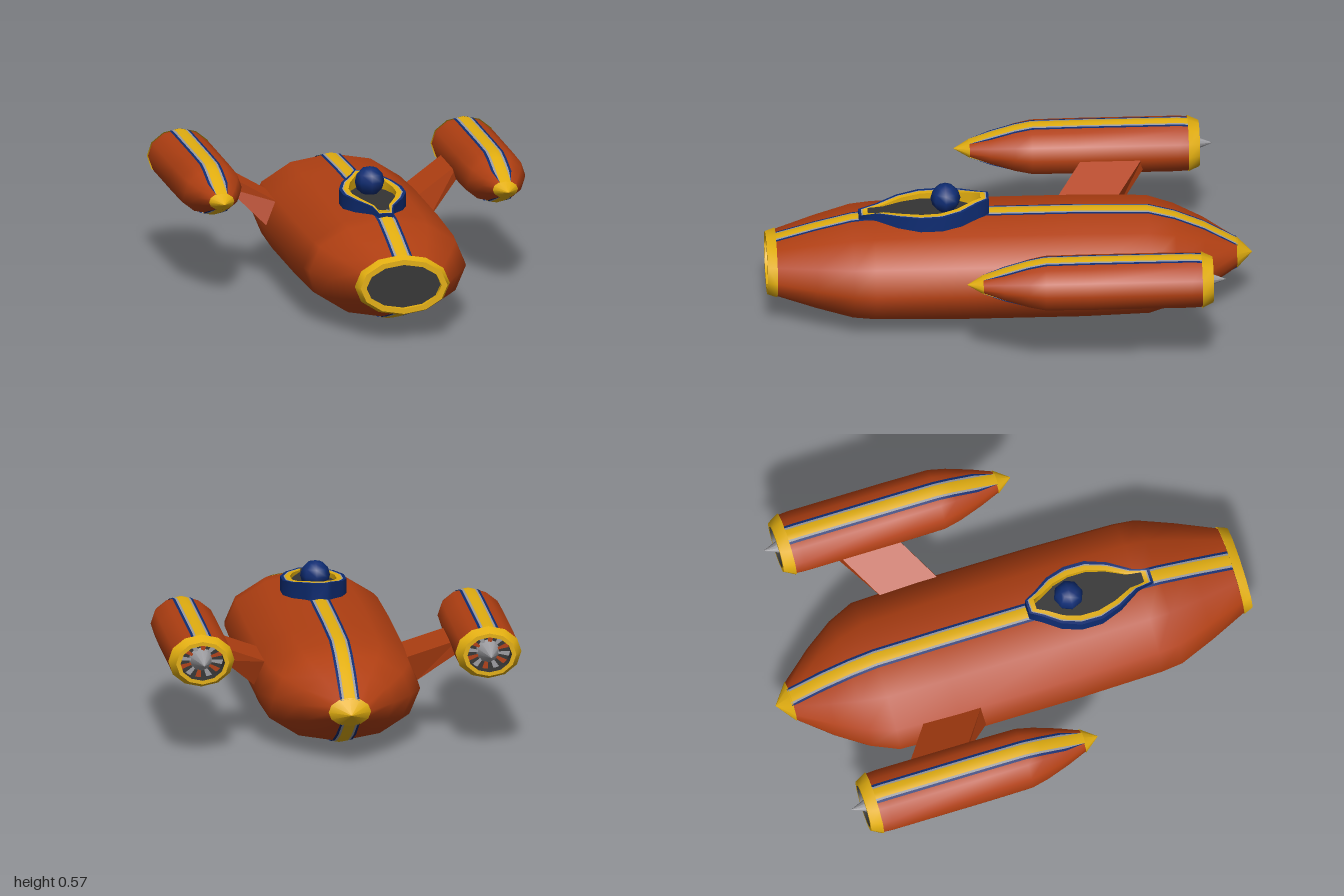
import * as THREE from 'three';

const mat = (name, color) => {
  const m = new THREE.MeshStandardMaterial({ color, side: THREE.DoubleSide });
  m.name = name;
  return m;
};

// Surface through rows of [x, y, z] points; closed rows wrap around
function sheet(rows, closed) {
  const n = rows[0].length, index = [];
  for (let i = 0; i < rows.length - 1; i++) {
    for (let j = 0; j < (closed ? n : n - 1); j++) {
      const k = (j + 1) % n, a = i * n + j, b = i * n + k, c = a + n, d = b + n;
      index.push(a, b, c, b, d, c);
    }
  }
  const g = new THREE.BufferGeometry();
  g.setAttribute('position', new THREE.Float32BufferAttribute(rows.flat(2), 3));
  g.setIndex(index);
  g.computeVertexNormals();
  return g;
}

// Twelve-sided elliptical hull; each section is [z, halfWidth, halfHeight]
const hull = (sections) => sheet(sections.map(([z, w, h]) =>
  Array.from({ length: 12 }, (_, i) => {
    const a = i * Math.PI / 6;
    return [w * Math.sin(a), h * Math.cos(a), z];
  })), true);

// Band painted along the crest (side 1) or keel (side -1) of a hull
const ribbon = (sections, xs, side, lift) => sheet(sections.map(([z, w, h]) =>
  xs.map((x) => {
    const cx = Math.sign(x) * Math.min(Math.abs(x), w * 0.5);
    return [cx, side * (h * (1 - 0.134 * Math.abs(cx) / (w * 0.5)) + lift), z];
  })), false);

export function createModel() {
  const red = mat('rustRed', 0xb03f12), yellow = mat('yellow', 0xe2ae10), blue = mat('navyBlue', 0x0e2c72);
  const dark = mat('darkGrey', 0x343434), grey = mat('lightGrey', 0x9c9ca0);

  const model = new THREE.Group();
  const add = (parent, name, geometry, material, x = 0, y = 0, z = 0) => {
    const m = new THREE.Mesh(geometry, material);
    m.name = name;
    m.position.set(x, y, z);
    parent.add(m);
    return m;
  };

  // Yellow centre line, grey pinstripes and blue borders, above and below
  const addStripes = (parent, sections) => {
    for (const side of [1, -1]) {
      add(parent, 'stripeCentre', ribbon(sections, [-0.023, 0, 0.023], side, 0.004), yellow);
      for (const s of [1, -1]) {
        add(parent, 'stripePinline', ribbon(sections, [s * 0.023, s * 0.032], side, 0.004), grey);
        add(parent, 'stripeBorder', ribbon(sections, [s * 0.032, s * 0.042], side, 0.004), blue);
      }
    }
  };

  // Fuselage
  const fuselage = new THREE.Group();
  fuselage.name = 'fuselage';
  fuselage.position.y = 0.225;
  model.add(fuselage);
  const body = [[0.96, 0.193, 0.122], [0.8, 0.267, 0.168], [0.65, 0.328, 0.205], [0.56, 0.338, 0.214],
    [0.2, 0.345, 0.221], [-0.3, 0.345, 0.221], [-0.57, 0.335, 0.214], [-0.68, 0.285, 0.184],
    [-0.8, 0.2, 0.133], [-0.94, 0.08, 0.052]];
  add(fuselage, 'fuselageShell', hull(body), red);
  addStripes(fuselage, body);
  add(fuselage, 'tailCap', hull([[-0.935, 0.088, 0.06], [-1, 0.001, 0.001]]), yellow);

  // Front intake
  add(fuselage, 'intakeRim', hull([[0.96, 0.199, 0.127], [1, 0.182, 0.114]]), yellow);
  add(fuselage, 'intakeLip', hull([[1, 0.182, 0.114], [1, 0.157, 0.092]].reverse()), yellow);
  add(fuselage, 'intakeWall', hull([[1, 0.157, 0.092], [0.975, 0.157, 0.092]]), yellow);
  add(fuselage, 'intakeMouth', new THREE.CircleGeometry(1, 12).scale(0.157, 0.092, 1), dark, 0, 0, 0.978);

  // Cockpit coaming: half outline as [z, halfWidth, y], mirrored into a loop
  const cockpit = new THREE.Group();
  cockpit.name = 'cockpit';
  model.add(cockpit);
  const half = [[0.62, 0.03, 0.449], [0.55, 0.045, 0.464], [0.46, 0.1, 0.475], [0.37, 0.132, 0.48],
    [0.28, 0.132, 0.484], [0.2, 0.105, 0.494], [0.13, 0.055, 0.508], [0.085, 0.03, 0.515]];
  const loop = (fx, fz, flatY) => {
    const side = (s) => half.map(([z, w, y]) => [s * w * fx, flatY ?? y, 0.33 + (z - 0.33) * fz]);
    return [...side(1), ...side(-1).reverse()];
  };
  const outer = loop(1, 1), line = loop(0.9, 0.96), band = loop(0.86, 0.94), inner = loop(0.7, 0.86);
  add(cockpit, 'coamingWall', sheet([outer, loop(1, 1, 0.4)], true), blue);
  add(cockpit, 'coamingEdge', sheet([line, outer], true), blue);
  add(cockpit, 'coamingPinline', sheet([band, line], true), grey);
  add(cockpit, 'coamingTop', sheet([inner, band], true), yellow);
  add(cockpit, 'coamingInside', sheet([loop(0.7, 0.86, 0.453), inner], true), yellow);
  add(cockpit, 'cockpitFloor', sheet([loop(0, 0.86, 0.457), loop(0.71, 0.87, 0.457)], true), dark);
  add(cockpit, 'pilotHead', new THREE.SphereGeometry(0.062, 8, 6), blue, 0, 0.508, 0.262);

  // Engine pods and pylons on both sides
  const pod = [[0.14, 0.046, 0.03], [0.05, 0.083, 0.062], [-0.05, 0.117, 0.092], [-0.12, 0.133, 0.106],
    [-0.3, 0.135, 0.108], [-0.72, 0.135, 0.108], [-0.765, 0.132, 0.105]];
  for (const s of [1, -1]) {
    const engine = new THREE.Group();
    engine.name = s > 0 ? 'leftEngine' : 'rightEngine';
    engine.position.set(s * 0.594, 0.418, 0);
    model.add(engine);
    add(engine, 'podShell', hull(pod), red);
    addStripes(engine, pod);
    add(engine, 'podNose', hull([[0.2, 0.001, 0.001], [0.135, 0.053, 0.035]]), yellow);

    // Exhaust with fan blades and spike
    add(engine, 'exhaustRing', hull([[-0.763, 0.137, 0.11], [-0.81, 0.11, 0.09]]), yellow);
    add(engine, 'exhaustLip', hull([[-0.81, 0.11, 0.09], [-0.81, 0.092, 0.074]]), yellow);
    add(engine, 'exhaustWall', hull([[-0.81, 0.092, 0.074], [-0.74, 0.092, 0.074]]), dark);
    add(engine, 'exhaustBack', new THREE.CircleGeometry(1, 12).scale(0.092, 0.074, 1), dark, 0, 0, -0.742);
    for (let i = 0; i < 12; i++) {
      const blade = new THREE.CircleGeometry(1, 1, i * Math.PI / 6, 0.28).scale(0.09, 0.072, 1);
      add(engine, 'fanBlade', blade, i % 2 ? red : grey, 0, 0, -0.755);
    }
    add(engine, 'exhaustSpike', new THREE.ConeGeometry(0.05, 0.125, 10).rotateX(-Math.PI / 2), grey, 0, 0, -0.8025);

    // Swept pylon: box with its corners moved to root and tip
    const g = new THREE.BoxGeometry(1, 1, 1), p = g.attributes.position;
    for (let i = 0; i < p.count; i++) {
      const tip = p.getX(i) * s > 0, top = p.getY(i) > 0, front = p.getZ(i) > 0;
      const x = tip ? 0.485 : top ? 0.285 : 0.335;
      const y = tip ? (top ? 0.425 : 0.37) : top ? 0.325 : 0.226;
      const z = (front ? -0.2 : -0.45) - (tip ? 0.13 : top ? 0 : -0.005);
      p.setXYZ(i, s * x, y, z);
    }
    const flat = g.toNonIndexed();
    flat.computeVertexNormals();
    add(model, s > 0 ? 'leftPylon' : 'rightPylon', flat, red);
  }
  return model;
}
